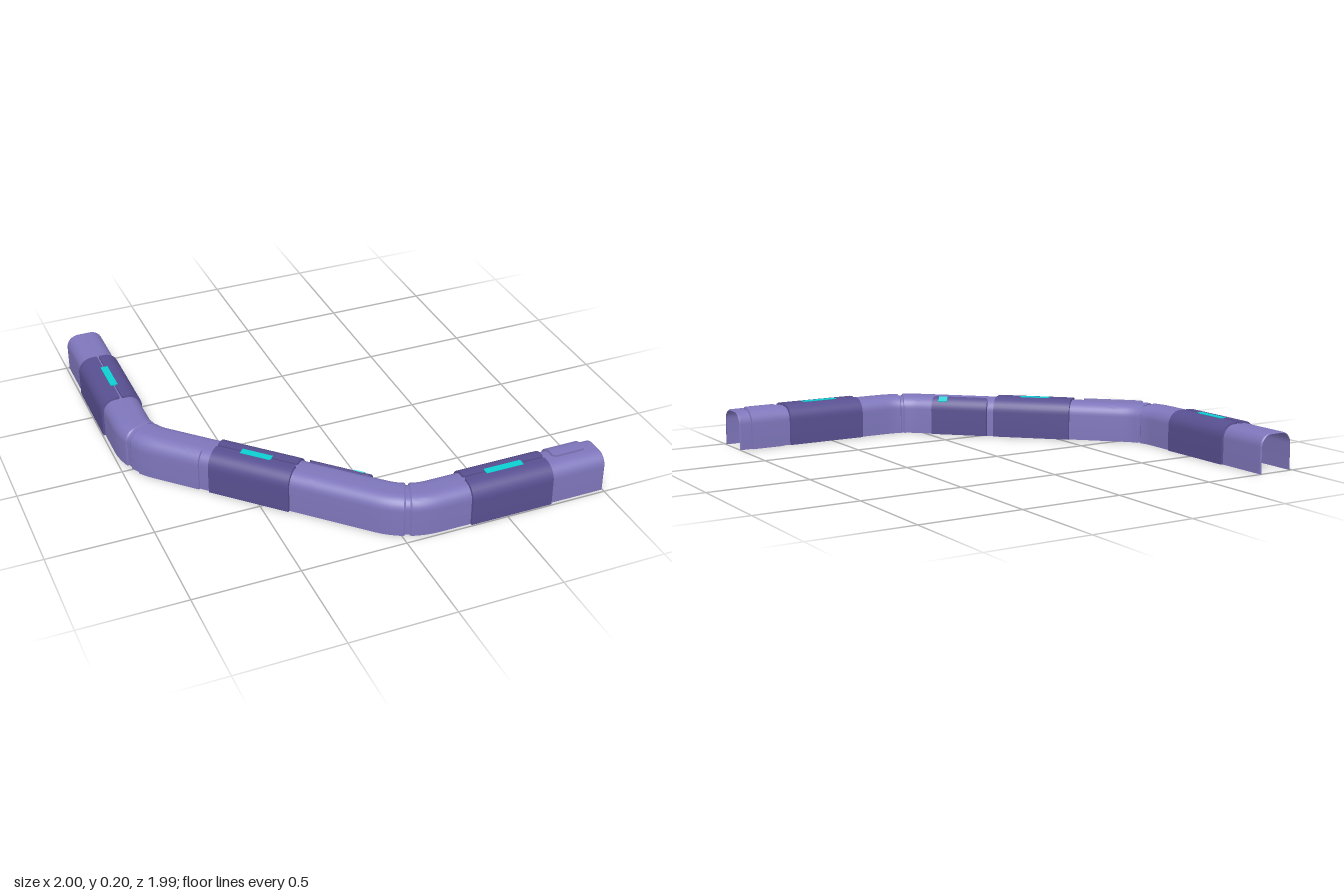
import * as THREE from 'three';
import { toCreasedNormals } from 'three/addons/utils/BufferGeometryUtils.js';

const mat = (name, color) => {
  const m = new THREE.MeshStandardMaterial({ color, side: THREE.DoubleSide });
  m.name = name;
  return m;
};

// Channel section: flat half-width, half-width, height, corner radius
const FLAT = 0.03, HALF = 0.091, HEIGHT = 0.188, RADIUS = HALF - FLAT;

// Path: straight, 45 degree bend, straight, 45 degree bend, straight
const TANGENT = 0.12, BEND = TANGENT / Math.tan(Math.PI / 8);
const ARC = BEND * Math.PI / 4;
const PATH = [[0.83, 0], [ARC, 1], [1.0936, 0], [ARC, 1], [0.832, 0]];
const TOTAL = PATH.reduce((sum, p) => sum + p[0], 0);
const SEAM1 = 0.83 + ARC / 2, SEAM2 = 0.83 + ARC + 1.0936 + ARC / 2;

// Position and heading at distance s; n points to the outer side of the bends
function at(s) {
  let x = -0.895, z = -1, a = 0;
  for (const [length, bends] of PATH) {
    const d = Math.min(s, length);
    if (bends) {
      const b = a + d / BEND;
      x += BEND * (Math.cos(a) - Math.cos(b));
      z += BEND * (Math.sin(b) - Math.sin(a));
      a = b;
    } else {
      x += d * Math.sin(a);
      z += d * Math.cos(a);
    }
    s -= d;
    if (s <= 0) break;
  }
  return { x, z, a, nx: -Math.cos(a), nz: Math.sin(a) };
}

// Half section from the foot of the wall up to an edge on top, raised by lift
function halfProfile(lift, edge, closeEdge) {
  const r = RADIUS + lift, cy = HEIGHT - RADIUS;
  const end = edge > FLAT ? Math.asin(Math.min(1, (edge - FLAT) / r)) : 0;
  const pts = [[FLAT + r, 0]];
  for (let k = 0; k <= 8; k++) {
    const t = Math.PI / 2 + (end - Math.PI / 2) * k / 8;
    pts.push([FLAT + r * Math.sin(t), cy + r * Math.cos(t)]);
  }
  if (edge <= FLAT) pts.push([edge, cy + r]);
  else pts.push([...pts[pts.length - 1]]);
  if (closeEdge) {
    const q = RADIUS - 0.001;
    pts.push(edge > FLAT ? [FLAT + q * Math.sin(end), cy + q * Math.cos(end)] : [edge, cy + q]);
  }
  return pts;
}

// Skin sections [s, points] along the path
function sweep(sections, side) {
  const pos = [], index = [], w = sections[0][1].length;
  sections.forEach(([s, pts], i) => {
    const p = at(s);
    pts.forEach(([m, y], j) => {
      pos.push(p.x + p.nx * m * side, y, p.z + p.nz * m * side);
      if (i && j) {
        const a = (i - 1) * w + j - 1, b = a + w;
        if (side > 0) index.push(a, b, a + 1, b, b + 1, a + 1);
        else index.push(a, a + 1, b, b, a + 1, b + 1);
      }
    });
  });
  const g = new THREE.BufferGeometry();
  g.setAttribute('position', new THREE.Float32BufferAttribute(pos, 3));
  g.setIndex(index);
  return toCreasedNormals(g, 0.6);
}

export function createModel() {
  const model = new THREE.Group();
  const light = mat('light violet', 0x7e76bb);
  const dark = mat('dark violet', 0x585091);
  const cyan = mat('cyan', 0x0ccfd2);

  const add = (name, geometry, material) => {
    const mesh = new THREE.Mesh(geometry, material);
    mesh.name = name;
    model.add(mesh);
    return mesh;
  };

  // Open channel with slightly tapered ends
  function channel(name, s0, s1, lift, taper) {
    const section = (s, o) => {
      const h = halfProfile(o, 0, false);
      return [s, [...h, ...h.slice(0, -1).reverse().map(([m, y]) => [-m, y])]];
    };
    const out = [section(s0, lift - taper), section(s0 + 0.006, lift)];
    const steps = Math.ceil((s1 - s0) / 0.025);
    for (let k = 1; k < steps; k++) out.push(section(s0 + (s1 - s0) * k / steps, lift));
    out.push(section(s1 - 0.006, lift), section(s1, lift - taper));
    add(name, sweep(out, 1), light);
  }

  // Raised plate wrapping one wall, with rounded corners on its upper edge
  function panel(name, s0, s1, side, edge, corner, lift, material) {
    const start = [[0, -0.001, edge + corner]];
    for (let k = 0; k <= 5; k++) {
      const t = k / 5 * Math.PI / 2;
      start.push([0.002 + corner * (1 - Math.cos(t)), lift * (k ? 1 : 0.6), edge + corner * (1 - Math.sin(t))]);
    }
    const list = start.map(([d, o, e]) => [s0 + d, o, e]);
    for (let k = 1; k < 12; k++) {
      const d = corner + 0.002;
      list.push([s0 + d + (s1 - s0 - 2 * d) * k / 12, lift, edge]);
    }
    start.reverse().forEach(([d, o, e]) => list.push([s1 - d, o, e]));
    add(name, sweep(list.map(([s, o, e]) => [s, halfProfile(o, e, true)]), side), material);
  }

  // Thin glowing plate
  function lamp(name, s, length, width, across, y, tilt) {
    const p = at(s);
    const mesh = add(name, new THREE.BoxGeometry(width, 0.009, length), cyan);
    mesh.position.set(p.x + p.nx * across, y, p.z + p.nz * across);
    mesh.rotation.set(0, p.a, tilt, 'YXZ');
  }

  // Three channel sections and the recessed joints between them
  channel('backChannel', 0, SEAM1 - 0.008, 0, 0.005);
  channel('middleChannel', SEAM1 + 0.008, SEAM2 - 0.008, 0, 0.005);
  channel('frontChannel', SEAM2 + 0.008, TOTAL, 0, 0.005);
  [SEAM1, SEAM2].forEach((s) => channel('seamJoint', s - 0.016, s + 0.016, -0.01, 0));

  // Split dark sleeves with a lamp along the top
  [['back', 0.265, 0.675, 0.47, 0.18], ['middle', 1.342, 1.743, 1.542, 0.15],
    ['front', 2.5306, 2.9406, 2.733, 0.185]].forEach(([name, s0, s1, mid, length]) => {
    panel(name + 'SleeveOuter', s0, s1, 1, 0.005, 0.008, 0.01, dark);
    panel(name + 'SleeveInner', s0, s1, -1, 0.005, 0.008, 0.01, dark);
    lamp(name + 'Lamp', mid, length, 0.035, 0, 0.1955, 0);
  });

  // Side panels
  panel('outerSidePanel', 0.995, 1.295, 1, 0.04, 0.02, 0.008, light);
  panel('innerSidePanel', 1.7755, 2.0755, -1, 0.055, 0.02, 0.01, dark);
  panel('endPanel', 2.98, 3.15, -1, -0.012, 0.02, 0.01, light);
  lamp('sidePanelLamp', 2.0155, 0.045, 0.034, -0.075, 0.180, -0.7);

  return model;
}
